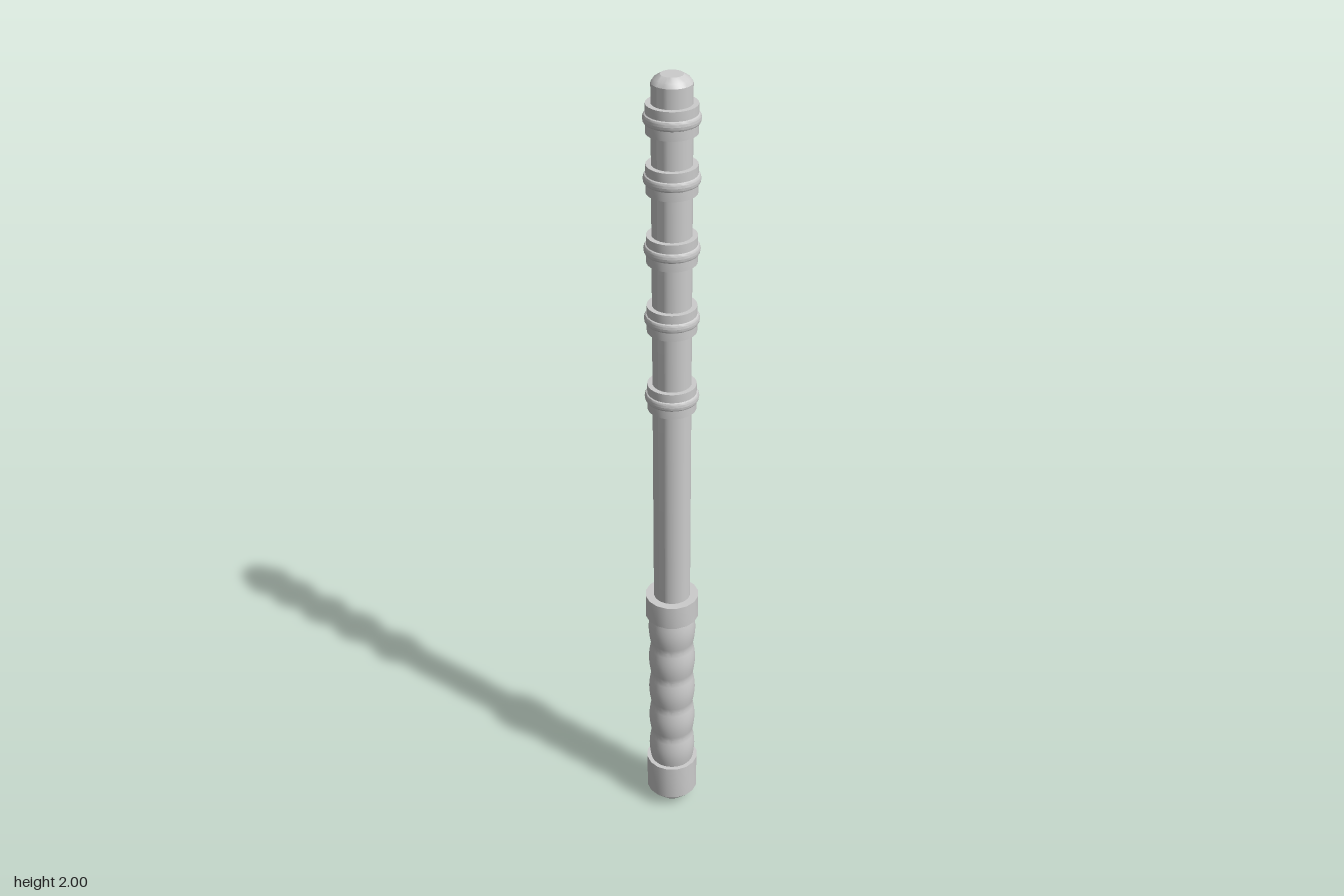
import * as THREE from 'three';
import { toCreasedNormals } from 'three/addons/utils/BufferGeometryUtils.js';

const material = new THREE.MeshStandardMaterial({ color: 0xcccccc });

// Turned part from [radius, height] pairs, listed bottom to top
function turned(name, profile, sides = 32, y = 0) {
  const points = profile.map(([r, h]) => new THREE.Vector2(r, h));
  const geometry = toCreasedNormals(new THREE.LatheGeometry(points, sides), 0.45);
  const mesh = new THREE.Mesh(geometry, material);
  mesh.name = name;
  mesh.position.y = y;
  return mesh;
}

export function createModel() {
  const group = new THREE.Group();
  group.name = 'baton';

  // Pommel with a tapered foot
  group.add(turned('pommel', [[0, 0], [0.03, 0], [0.066, 0.038], [0.066, 0.137], [0, 0.137]], 16));

  // Grip with rounded finger swells
  const swells = 5, steps = 8, bottom = 0.13, height = 0.48;
  const grip = [];
  for (let i = 0; i <= swells * steps; i++) {
    const t = i / steps;
    grip.push([0.053 + 0.006 * Math.abs(Math.sin(Math.PI * t)), bottom + height * t / swells]);
  }
  group.add(turned('grip', grip));

  // Collar between grip and shaft
  group.add(turned('collar', [[0, 0.605], [0.066, 0.605], [0.066, 0.667], [0, 0.667]], 16));

  // Shaft with a bevelled tip
  group.add(turned('shaft', [[0.045, 0.65], [0.045, 1.982], [0.039, 1.991], [0.025, 2], [0, 2]]));

  // Banded rings, each with a raised bead around the middle
  [1.236, 1.437, 1.607, 1.771, 1.906].forEach((y, i) => {
    const ring = [[0.04, -0.032], [0.057, -0.032], [0.057, -0.011]];
    for (let k = 0; k <= 6; k++) {
      const a = -Math.PI / 2 + Math.PI * k / 6;
      ring.push([0.057 + 0.006 * Math.cos(a), 0.011 * Math.sin(a)]);
    }
    ring.push([0.057, 0.011], [0.057, 0.032], [0.04, 0.032]);
    group.add(turned(`ring${i + 1}`, ring, 32, y));
  });

  return group;
}
